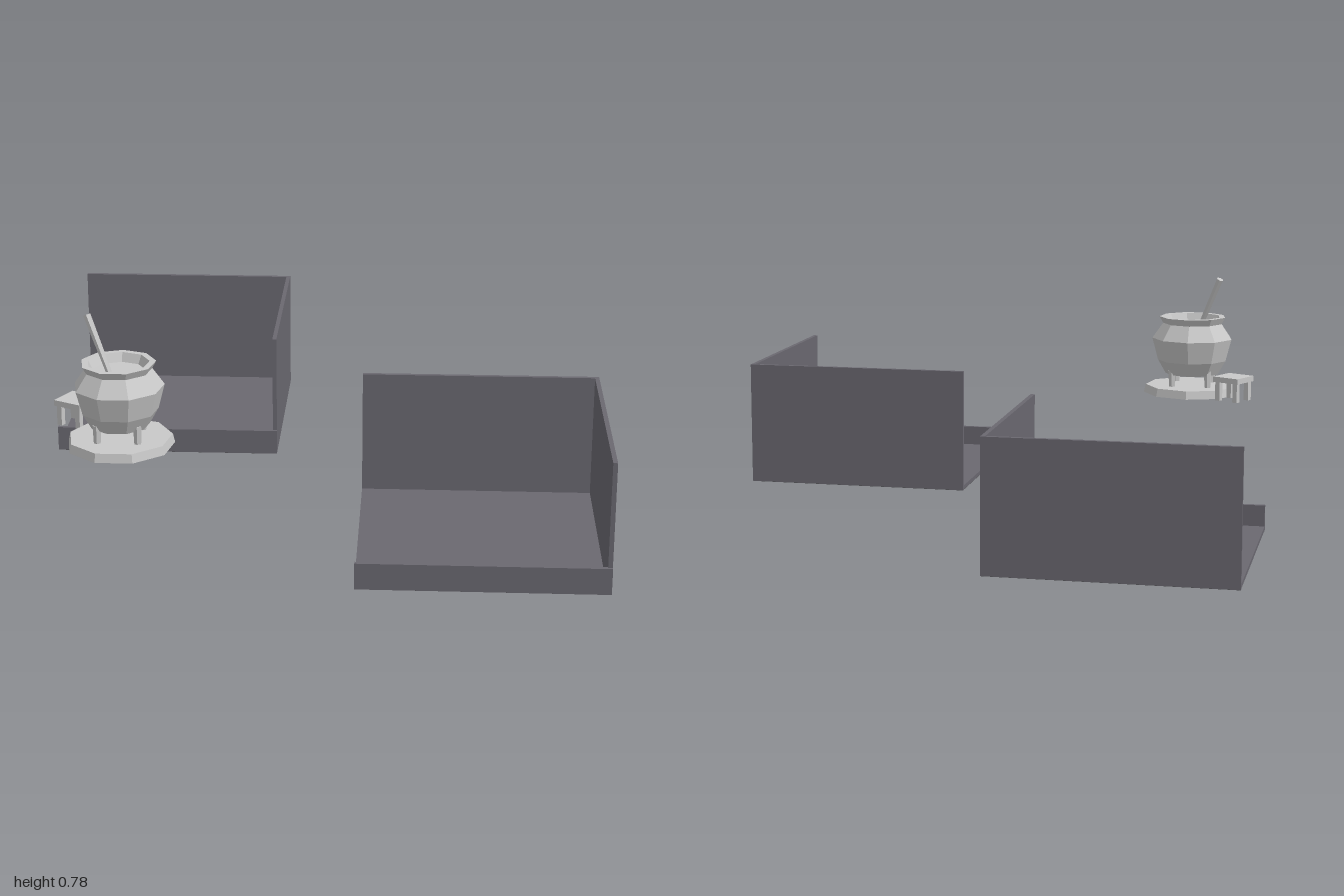
import * as THREE from 'three';

const trayMat = new THREE.MeshStandardMaterial({ name: 'slate grey', color: 0x6a6870, flatShading: true });
const underMat = new THREE.MeshStandardMaterial({ name: 'dark underside', color: 0x525254, flatShading: true });
const potMat = new THREE.MeshStandardMaterial({ name: 'light grey', color: 0xc8c8c8, flatShading: true });

function add(parent, name, geometry, material, x = 0, y = 0, z = 0) {
  const mesh = new THREE.Mesh(geometry, material);
  mesh.name = name;
  mesh.position.set(x, y, z);
  parent.add(mesh);
  return mesh;
}

const box = (w, h, d) => new THREE.BoxGeometry(w, h, d);

// Floor with two tall walls, a low front lip and one open side
function makeTray(name, x, y, z) {
  const tray = new THREE.Group();
  tray.name = name;
  tray.position.set(x, y, z);
  const w = 0.82, d = 0.815, h = 0.447, t = 0.015, lip = 0.09;
  add(tray, 'floor', box(w - t, t, d - 2 * t), trayMat, -t / 2, t / 2 + 0.002, 0);
  add(tray, 'backWall', box(w, h, t), trayMat, 0, h / 2, -d / 2 + t / 2);
  add(tray, 'sideWall', box(t, h, d - 1.2 * t), trayMat, w / 2 - t / 2, h / 2, -0.001);
  add(tray, 'frontLip', box(w, lip, t), trayMat, 0, lip / 2, d / 2 - t / 2);
  add(tray, 'underside', box(w - 0.004, 0.004, d - 0.004), underMat, 0, 0.001, 0);
  return tray;
}

// Nine-sided pot on short legs over a round plate
function makeCauldron() {
  const cauldron = new THREE.Group();
  cauldron.name = 'cauldron';
  cauldron.position.set(-0.63, 0, 0.61);

  const plate = add(cauldron, 'basePlate', new THREE.CylinderGeometry(0.175, 0.182, 0.03, 9), potMat, 0, 0.355, 0);
  plate.rotation.y = Math.PI;

  const profile = [
    [0, 0.413], [0.1, 0.413], [0.13, 0.465], [0.152, 0.548], [0.112, 0.605],
    [0.126, 0.63], [0.104, 0.63], [0.09, 0.6], [0, 0.6],
  ].map(([r, y]) => new THREE.Vector2(r, y));
  const pot = add(cauldron, 'pot', new THREE.LatheGeometry(profile, 9), potMat);
  pot.rotation.y = Math.PI;

  for (let i = 0; i < 4; i++) {
    const a = Math.PI / 4 + i * Math.PI / 2;
    add(cauldron, 'potLeg', new THREE.CylinderGeometry(0.015, 0.012, 0.07, 6), potMat,
      Math.sin(a) * 0.095, 0.397, Math.cos(a) * 0.095);
  }

  // Leaning stirring stick
  const foot = new THREE.Vector3(-0.022, 0.58, 0.015);
  const tip = new THREE.Vector3(-0.105, 0.778, -0.045);
  const along = tip.clone().sub(foot);
  const stick = add(cauldron, 'stirringStick', new THREE.CylinderGeometry(0.013, 0.01, along.length(), 6), potMat);
  stick.position.copy(foot).add(tip).multiplyScalar(0.5);
  stick.quaternion.setFromUnitVectors(new THREE.Vector3(0, 1, 0), along.normalize());
  return cauldron;
}

// Small square stool
function makeStool() {
  const stool = new THREE.Group();
  stool.name = 'stool';
  stool.position.set(-0.805, 0, 0.43);
  stool.rotation.y = -0.48;
  add(stool, 'seat', box(0.108, 0.02, 0.108), potMat, 0, 0.425, 0);
  for (const sx of [-1, 1]) for (const sz of [-1, 1]) {
    add(stool, 'stoolLeg', box(0.019, 0.07, 0.019), potMat, sx * 0.038, 0.38, sz * 0.038);
  }
  return stool;
}

export function createModel() {
  const model = new THREE.Group();
  model.name = 'cauldronAndTrays';
  model.add(
    makeTray('backTray', -0.575, 0.001, -0.5925),
    makeTray('frontTray', 0.575, 0.01, 0.5925),
    makeCauldron(),
    makeStool(),
  );
  return model;
}
